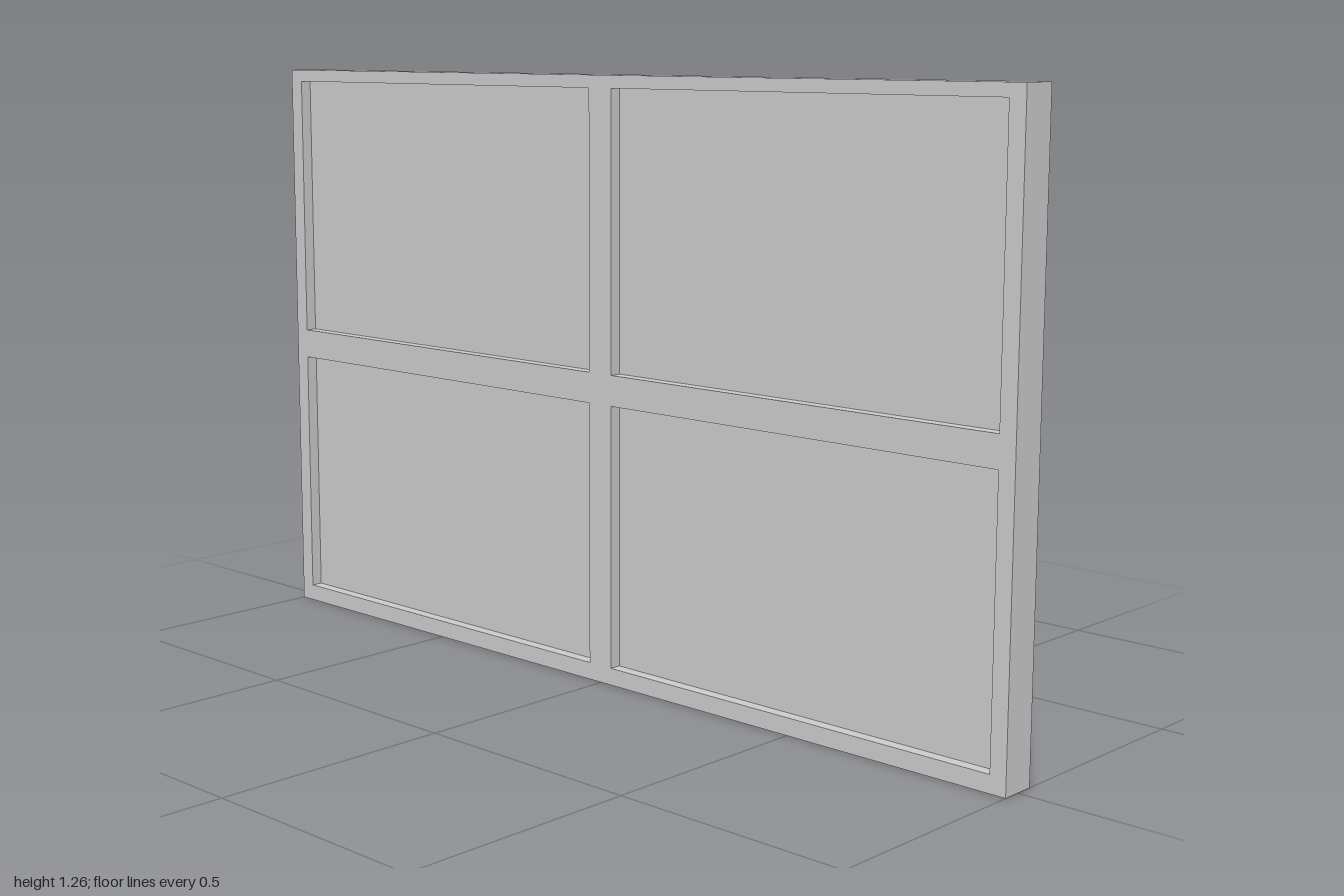
import * as THREE from 'three';

const WIDTH = 2, HEIGHT = 1.256, DEPTH = 0.076, RECESS = 0.025;
const COLUMNS = [[-0.965, -0.034], [0.028, 0.965]];
const ROWS = [[0.036, 0.588], [0.652, 1.23]];

// Traces a rectangle on a Shape or Path
function rectangle(path, x0, x1, y0, y1) {
  path.moveTo(x0, y0);
  path.lineTo(x1, y0);
  path.lineTo(x1, y1);
  path.lineTo(x0, y1);
  path.closePath();
  return path;
}

export function createModel() {
  const model = new THREE.Group();
  model.name = 'panelledWindow';
  const material = new THREE.MeshStandardMaterial({ color: 0xcccccc });

  // Solid slab behind the frame
  const slabDepth = DEPTH - RECESS;
  const slab = new THREE.Mesh(new THREE.BoxGeometry(WIDTH, HEIGHT, slabDepth), material);
  slab.name = 'backPanel';
  slab.position.set(0, HEIGHT / 2, (slabDepth - DEPTH) / 2);
  model.add(slab);

  // Front frame with four openings
  const outline = rectangle(new THREE.Shape(), -WIDTH / 2, WIDTH / 2, 0, HEIGHT);
  for (const [x0, x1] of COLUMNS) {
    for (const [y0, y1] of ROWS) {
      outline.holes.push(rectangle(new THREE.Path(), x0, x1, y0, y1));
    }
  }
  const frame = new THREE.Mesh(
    new THREE.ExtrudeGeometry(outline, { depth: RECESS, bevelEnabled: false }),
    material
  );
  frame.name = 'frame';
  frame.position.z = DEPTH / 2 - RECESS;
  model.add(frame);

  return model;
}
